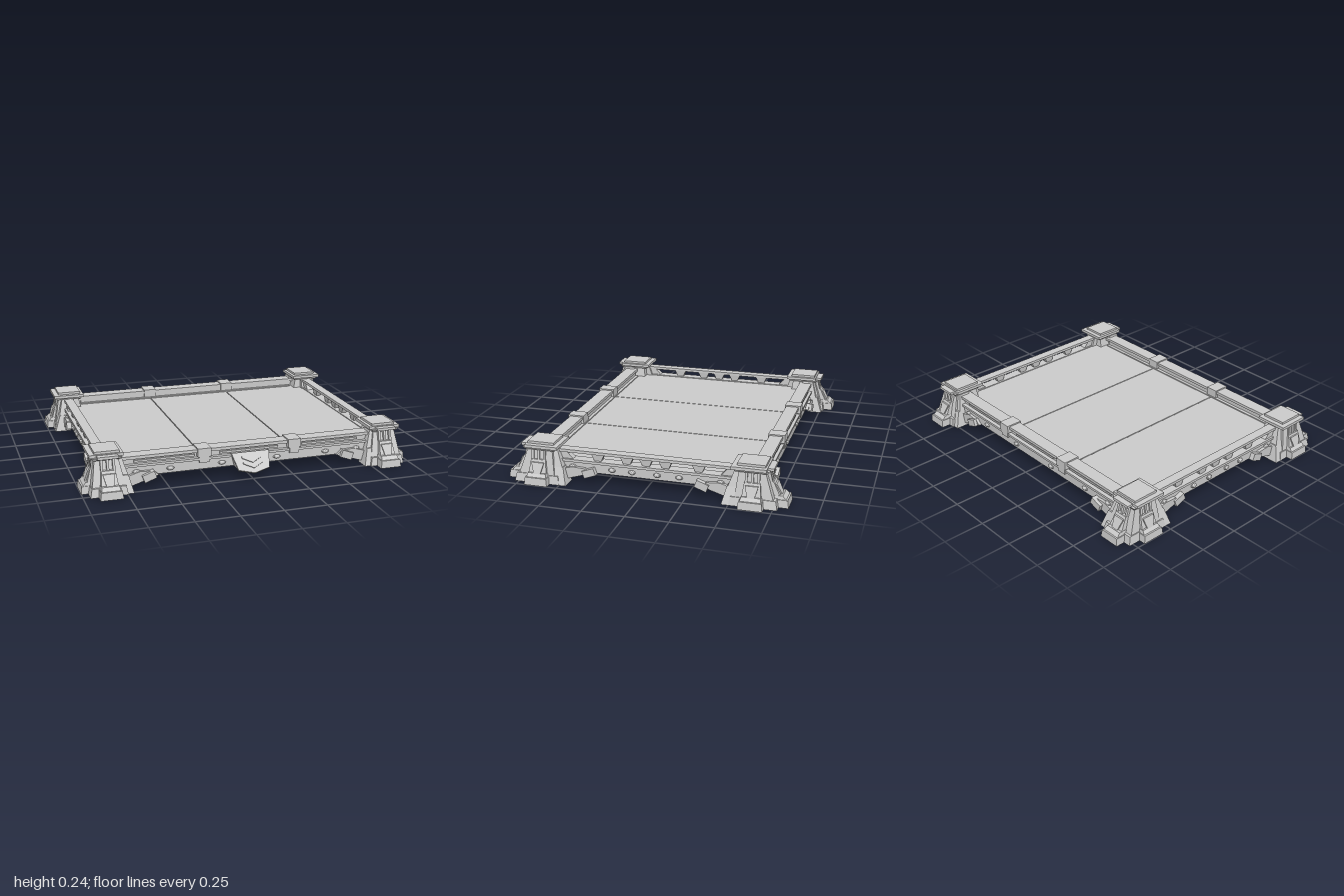
import * as THREE from 'three';

const stone = new THREE.MeshStandardMaterial({ color: 0xcccccc, flatShading: true });
stone.name = 'pale grey stone';

function add(parent, name, geo) {
  const m = new THREE.Mesh(geo, stone);
  m.name = name;
  parent.add(m);
  return m;
}

// Tapered block between two levels; each level is [y, x0, x1, z0, z1], mirrored by sx and sz
function block(parent, name, lo, hi, sx = 1, sz = 1) {
  const geo = new THREE.BoxGeometry(1, 1, 1);
  const p = geo.attributes.position;
  const pick = (a, b, s, t) => {
    const lowEnd = Math.min(a * s, b * s), highEnd = Math.max(a * s, b * s);
    return t < 0 ? lowEnd : highEnd;
  };
  for (let i = 0; i < p.count; i++) {
    const l = p.getY(i) < 0 ? lo : hi;
    p.setXYZ(i, pick(l[1], l[2], sx, p.getX(i)), l[0], pick(l[3], l[4], sz, p.getZ(i)));
  }
  geo.computeVertexNormals();
  return add(parent, name, geo);
}
const box = (parent, name, x0, x1, y0, y1, z0, z1, sx, sz) =>
  block(parent, name, [y0, x0, x1, z0, z1], [y1, x0, x1, z0, z1], sx, sz);

// Flat outline extruded to a slab
function slab(points, depth) {
  const shape = new THREE.Shape(points.map(([x, y]) => new THREE.Vector2(x, y)));
  return new THREE.ExtrudeGeometry(shape, { depth, bevelEnabled: false });
}

// Stepped corner tower with splayed feet, buttresses and a layered cap
function tower(parent, sx, sz) {
  const g = new THREE.Group();
  g.name = 'cornerTower';
  parent.add(g);
  const b = (n, lo, hi) => block(g, n, lo, hi, sx, sz);
  b('towerCore', [0.02, 0.75, 0.95, 0.53, 0.76], [0.2, 0.785, 0.92, 0.55, 0.7]);
  b('towerFoot', [0, 0.745, 0.96, 0.5, 0.775], [0.05, 0.755, 0.95, 0.51, 0.765]);
  // end buttress along z
  b('endFoot', [0, 0.785, 0.915, 0.7, 0.83], [0.045, 0.79, 0.91, 0.7, 0.825]);
  b('endStep', [0.045, 0.795, 0.905, 0.68, 0.815], [0.065, 0.8, 0.9, 0.68, 0.795]);
  b('endButtress', [0.05, 0.8, 0.9, 0.66, 0.785], [0.14, 0.81, 0.89, 0.66, 0.74]);
  b('endShield', [0.06, 0.83, 0.87, 0.77, 0.79], [0.125, 0.815, 0.885, 0.73, 0.757]);
  // side buttress along x
  b('sideFoot', [0, 0.9, 1, 0.56, 0.7], [0.045, 0.9, 0.995, 0.565, 0.695]);
  b('sideStep', [0.045, 0.88, 0.985, 0.57, 0.69], [0.065, 0.88, 0.97, 0.575, 0.685]);
  b('sideButtress', [0.05, 0.88, 0.965, 0.575, 0.685], [0.14, 0.88, 0.94, 0.585, 0.675]);
  b('sideShield', [0.06, 0.945, 0.973, 0.61, 0.65], [0.125, 0.93, 0.953, 0.592, 0.668]);
  // inward toes and wing plates
  b('innerToeX', [0, 0.71, 0.8, 0.67, 0.765], [0.1, 0.735, 0.8, 0.67, 0.73]);
  b('innerToeZ', [0, 0.86, 0.96, 0.46, 0.56], [0.1, 0.86, 0.925, 0.485, 0.56]);
  b('wingX', [0.1, 0.735, 0.8, 0.62, 0.72], [0.2, 0.765, 0.8, 0.62, 0.69]);
  b('wingZ', [0.1, 0.82, 0.925, 0.49, 0.56], [0.2, 0.82, 0.9, 0.525, 0.56]);
  // small columns under the cap
  for (const o of [-0.035, 0, 0.035]) {
    b('endColumn', [0.14, 0.843 + o, 0.857 + o, 0.69, 0.735], [0.2, 0.843 + o, 0.857 + o, 0.69, 0.72]);
    b('sideColumn', [0.14, 0.9, 0.938, 0.623 + o, 0.637 + o], [0.2, 0.9, 0.93, 0.623 + o, 0.637 + o]);
  }
  // cap
  b('capCollar', [0.195, 0.775, 0.93, 0.53, 0.715], [0.212, 0.765, 0.94, 0.52, 0.725]);
  box(g, 'capPlate', 0.755, 0.95, 0.21, 0.228, 0.51, 0.71, sx, sz);
  box(g, 'capLip', 0.79, 0.91, 0.208, 0.224, 0.55, 0.745, sx, sz);
  box(g, 'capSlab', 0.775, 0.92, 0.228, 0.242, 0.54, 0.7, sx, sz);
}

export function createModel() {
  const root = new THREE.Group();
  root.name = 'platform';

  // deck with seams between three panels
  box(root, 'deckBase', -0.87, 0.87, 0.068, 0.129, -0.67, 0.67);
  for (const [a, c] of [[-0.84, -0.278], [-0.272, 0.272], [0.278, 0.84]])
    box(root, 'deckPanel', a, c, 0.129, 0.135, -0.61, 0.61);

  for (const sx of [-1, 1]) for (const sz of [-1, 1]) {
    tower(root, sx, sz);
    // angled braces below the beams
    const brace = [[0.55, 0.068], [0.58, 0.095], [0.66, 0.1], [0.76, 0.07], [0.76, 0.015], [0.72, 0.015]];
    const ex = add(root, 'frontBrace', slab(brace.map(([x, y]) => [x * sx, y]), 0.07));
    ex.position.z = sz > 0 ? 0.63 : -0.7;
    const geo = slab(brace.map(([z, y]) => [(z - 0.22) * sz, y]), 0.07).rotateY(-Math.PI / 2);
    add(root, 'sideBrace', geo).position.x = sx > 0 ? 0.9 : -0.83;
    // strapped joints on the braces
    const strapX = add(root, 'braceStrap', new THREE.BoxGeometry(0.075, 0.045, 0.06));
    strapX.position.set(0.61 * sx, 0.068, 0.69 * sz);
    strapX.rotation.z = -0.35 * sx;
    const strapZ = add(root, 'braceStrap', new THREE.BoxGeometry(0.06, 0.045, 0.075));
    strapZ.position.set(0.88 * sx, 0.073, 0.335 * sz);
    strapZ.rotation.x = 0.35 * sz;
    // gussets beside the towers
    const gusset = slab([[0.4, 0.13], [0.44, 0.14], [0.49, 0.195], [0.55, 0.195], [0.55, 0.13]]
      .map(([z, y]) => [z * sz, y]), 0.04).rotateY(-Math.PI / 2);
    add(root, 'sideGusset', gusset).position.x = sx > 0 ? 0.875 : -0.835;
  }

  // front and back: beam, recessed wall, ledge and top rail
  for (const s of [-1, 1]) {
    box(root, 'longBeam', -0.76, 0.76, 0.068, 0.13, 0.62, 0.682, 1, s);
    box(root, 'longLedge', -0.76, 0.76, 0.124, 0.138, 0.62, 0.69, 1, s);
    box(root, 'recessedWall', -0.76, 0.76, 0.13, 0.18, 0.61, 0.665, 1, s);
    box(root, 'topRail', -0.78, 0.78, 0.17, 0.188, 0.6, 0.682, 1, s);
    box(root, 'innerSkirt', -0.76, 0.76, 0.129, 0.142, 0.59, 0.62, 1, s);
    for (const x of [-0.51, 0, 0.51])
      box(root, 'wallBar', x - 0.18, x + 0.18, 0.148, 0.16, 0.65, 0.675, 1, s);
    for (const x of [-0.278, 0.278]) {
      box(root, 'railClamp', x - 0.04, x + 0.04, 0.145, 0.196, 0.593, 0.696, 1, s);
      box(root, 'clampFoot', x - 0.03, x + 0.03, 0.11, 0.15, 0.65, 0.694, 1, s);
    }
    for (const x of [-0.68, -0.48, -0.17, 0.17, 0.48, 0.68]) {
      const stud = add(root, 'beamStud', new THREE.SphereGeometry(1, 8, 6));
      stud.scale.set(0.024, 0.012, 0.012);
      stud.position.set(x, 0.096, 0.684 * s);
    }
  }

  // sides: beam and open railing on short posts
  for (const s of [-1, 1]) {
    box(root, 'sideBeam', 0.82, 0.88, 0.068, 0.13, -0.55, 0.55, s);
    box(root, 'sideLedge', 0.825, 0.888, 0.124, 0.14, -0.55, 0.55, s);
    box(root, 'sideRail', 0.826, 0.884, 0.181, 0.198, -0.56, 0.56, s);
    for (const z of [-0.31, -0.115, 0, 0.115, 0.29])
      block(root, 'railPost', [0.138, 0.84, 0.87, z - 0.02, z + 0.02],
        [0.183, 0.835, 0.875, z - 0.04, z + 0.04], s);
    for (const z of [-0.44, -0.2, -0.07, 0.08, 0.2, 0.44]) {
      const stud = add(root, 'beamStud', new THREE.SphereGeometry(1, 8, 6));
      stud.scale.set(0.012, 0.013, 0.022);
      stud.position.set(0.884 * s, 0.098, z);
    }
  }

  // leaning crest plate on the front beam, with plain raised chevrons
  const crest = new THREE.Group();
  crest.name = 'frontCrest';
  root.add(crest);
  block(crest, 'crestBack', [0.065, -0.095, 0.095, 0.66, 0.765], [0.145, -0.115, 0.115, 0.66, 0.69]);
  const face = new THREE.Group();
  face.name = 'crestFace';
  face.position.set(0, 0.145, 0.69);
  face.rotation.x = -0.75;
  crest.add(face);
  add(face, 'crestPlate', slab([[-0.115, 0], [0.115, 0], [0.095, -0.11], [0, -0.136], [-0.095, -0.11]], 0.012))
    .position.z = -0.008;
  for (const y of [-0.045, -0.08])
    add(face, 'crestChevron', slab([[-0.06, y + 0.02], [0, y - 0.012], [0.06, y + 0.02],
      [0.06, y + 0.005], [0, y - 0.027], [-0.06, y + 0.005]], 0.006)).position.z = 0.004;

  return root;
}
